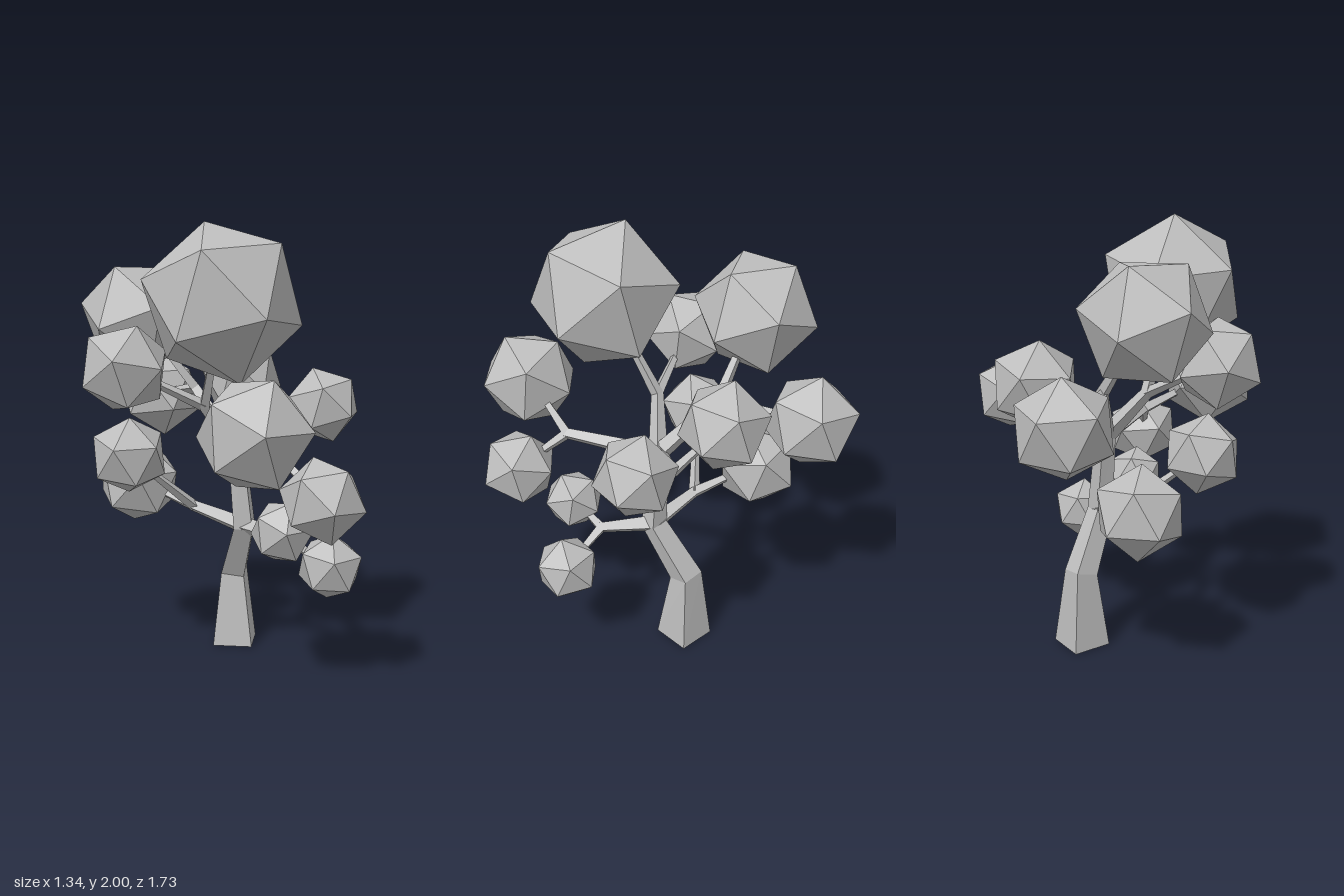
import * as THREE from 'three';

const V = (a) => new THREE.Vector3(...a);

// Four-sided tapering limb with mitred rings at every path point
function limbGeometry(points, radii) {
  const p = points.map(V), n = p.length, rings = [], pos = [];
  let u = null;
  for (let i = 0; i < n; i++) {
    const t = new THREE.Vector3();
    if (i > 0) t.add(p[i].clone().sub(p[i - 1]).normalize());
    if (i < n - 1) t.add(p[i + 1].clone().sub(p[i]).normalize());
    t.normalize();
    if (!u) u = Math.abs(t.x) < 0.8 ? new THREE.Vector3(1, 0, 0) : new THREE.Vector3(0, 1, 0);
    u = u.clone().addScaledVector(t, -u.dot(t)).normalize();
    const w = t.clone().cross(u);
    rings.push([0, 1, 2, 3].map((k) => p[i].clone()
      .addScaledVector(u, radii[i] * Math.cos(k * Math.PI / 2))
      .addScaledVector(w, radii[i] * Math.sin(k * Math.PI / 2))));
  }
  const quad = (a, b, c, d) => [a, b, c, a, c, d].forEach((v) => pos.push(v.x, v.y, v.z));
  for (let i = 0; i < n - 1; i++) {
    for (let k = 0; k < 4; k++) {
      const m = (k + 1) % 4;
      quad(rings[i][k], rings[i][m], rings[i + 1][m], rings[i + 1][k]);
    }
  }
  const s = rings[0], e = rings[n - 1];
  quad(s[3], s[2], s[1], s[0]);
  quad(e[0], e[1], e[2], e[3]);
  const g = new THREE.BufferGeometry();
  g.setAttribute('position', new THREE.Float32BufferAttribute(pos, 3));
  g.computeVertexNormals();
  return g;
}

// Orthonormal frame from a direction and a second direction beside it
function frame(a, b) {
  const x = a.clone().normalize();
  const y = b.clone().addScaledVector(x, -b.dot(x)).normalize();
  return new THREE.Matrix4().makeBasis(x, y, x.clone().cross(y));
}

export function createModel() {
  const tree = new THREE.Group();
  tree.name = 'tree';
  const grey = new THREE.MeshStandardMaterial({ color: 0xbcbcbc, flatShading: true });
  grey.name = 'pale grey';
  const add = (name, geometry) => {
    const mesh = new THREE.Mesh(geometry, grey);
    mesh.name = name;
    tree.add(mesh);
    return mesh;
  };

  // Foliage: centre, radius, and two neighbouring corner directions
  const balls = {
    crown: [[-0.22, 1.66, 0.26], 0.35, [-0.05, 0.955, -0.29], [0.38, 0.7, 0.62]],
    backCrown: [[-0.2, 1.59, -0.42], 0.285, [0.14, 0.81, -0.57], [0.45, 0.79, 0.42]],
    frontHigh: [[-0.36, 1.165, 0.65], 0.24, [0.04, 0.9, 0.43], [0.87, 0.53, -0.08]],
    frontLow: [[-0.02, 0.865, 0.67], 0.185, [0.05, 0.93, -0.37], [0.85, 0.45, 0]],
    lowInner: [[-0.02, 0.685, 0.42], 0.145, [0, 0.93, 0.38], [0.85, 0.45, -0.1]],
    lowOuter: [[0.255, 0.485, 0.43], 0.155, [-0.03, 0.98, 0.14], [0.84, 0.48, -0.2]],
    leftOuter: [[0.515, 1.165, 0.09], 0.185, [-0.17, 0.95, -0.22], [0.77, 0.5, -0.4]],
    leftInner: [[0.3, 1.285, -0.275], 0.205, [-0.15, 0.96, -0.2], [0.82, 0.5, -0.25]],
    backMiddle: [[0.08, 1.19, -0.67], 0.22, [0, 0.98, -0.15], [0.3, 0.5, 0.8]],
    backLow: [[-0.19, 0.79, -0.46], 0.207, [0, 0.97, 0.23], [0, 0.69, -0.8]],
    rightLow: [[-0.42, 0.98, -0.17], 0.18, [-0.1, 0.95, 0.2], [0.3, 0.5, -0.8]],
    rightHigh: [[-0.47, 1.375, -0.115], 0.207, [0.05, 0.9, 0.43], [0.3, 0.8, -0.55]],
  };
  const t = (1 + Math.sqrt(5)) / 2;
  const base = frame(new THREE.Vector3(-1, t, 0), new THREE.Vector3(1, t, 0)).invert();
  for (const [name, [centre, radius, a, b]] of Object.entries(balls)) {
    const ball = add(name + 'Foliage', new THREE.IcosahedronGeometry(radius, 0));
    ball.position.set(...centre);
    ball.quaternion.setFromRotationMatrix(frame(V(a), V(b)).multiply(base));
  }

  // Bent trunk
  const low = [0.08, 0.62, 0.03], top = [0.05, 0.99, 0.01];
  add('trunk', limbGeometry(
    [[0.14, 0, -0.12], [0.14, 0.36, -0.125], low, top], [0.132, 0.078, 0.062, 0.048]));

  // Each branch leaves the trunk, then forks to two foliage balls
  const branches = [
    ['lowFront', low, [0.11, 0.61, 0.28], 'lowOuter', 'lowInner'],
    ['lowBack', low, [-0.07, 0.7, -0.16], 'backLow', 'rightLow'],
    ['front', top, [-0.06, 1.025, 0.44], 'frontHigh', 'frontLow'],
    ['left', top, [0.32, 1.06, -0.06], 'leftOuter', 'leftInner'],
    ['back', top, [0.01, 1.25, -0.26], 'backCrown', 'backMiddle'],
    ['right', top, [-0.14, 1.2, 0.02], 'crown', 'rightHigh'],
  ];
  for (const [name, start, fork, first, second] of branches) {
    add(name + 'Branch', limbGeometry([start, fork, balls[first][0]], [0.045, 0.03, 0.012]));
    add(name + 'Twig', limbGeometry([fork, balls[second][0]], [0.027, 0.012]));
  }
  return tree;
}
